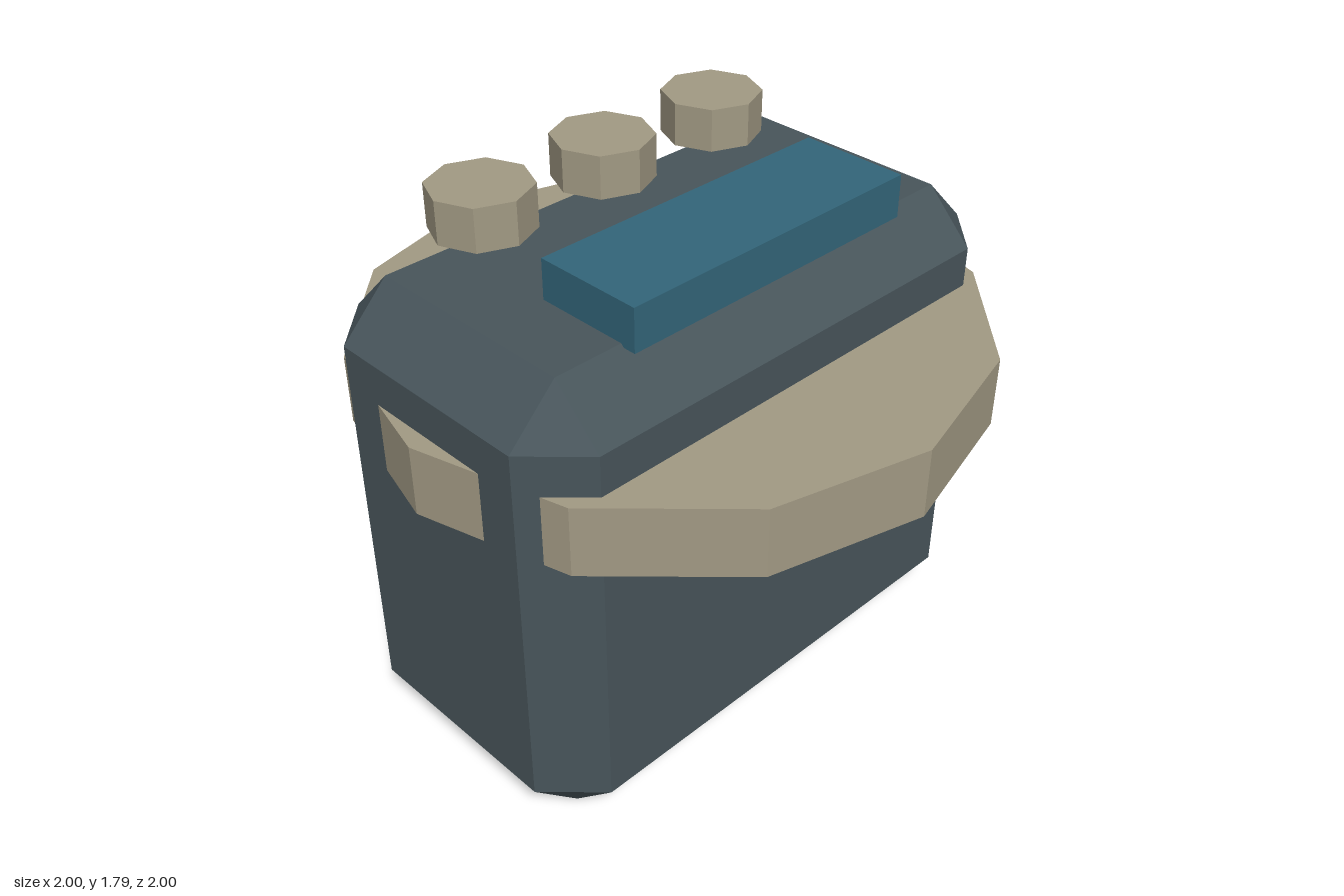
import * as THREE from 'three';
import { ConvexGeometry } from 'three/addons/geometries/ConvexGeometry.js';

const material = (color) => new THREE.MeshStandardMaterial({ color, flatShading: true });

// Box with every edge and corner cut off at 45 degrees
function chamferedBox(w, h, d, c) {
  const points = [];
  for (const sx of [-1, 1]) for (const sy of [-1, 1]) for (const sz of [-1, 1]) {
    const x = w / 2, y = h / 2, z = d / 2;
    points.push(
      new THREE.Vector3(sx * x, sy * (y - c), sz * (z - c)),
      new THREE.Vector3(sx * (x - c), sy * y, sz * (z - c)),
      new THREE.Vector3(sx * (x - c), sy * (y - c), sz * z),
    );
  }
  return new ConvexGeometry(points);
}

export function createModel() {
  const model = new THREE.Group();
  const slate = material(0x48555b);
  const tan = material(0xa29a84);
  const blue = material(0x33667a);

  const add = (name, geometry, mat, x, y, z) => {
    const mesh = new THREE.Mesh(geometry, mat);
    mesh.name = name;
    mesh.position.set(x, y, z);
    model.add(mesh);
  };

  // Main body
  add('body', chamferedBox(1.88, 1.59, 1.055, 0.164), slate, 0, 0.795, 0);

  // Wide disc passing through the body
  add('band', new THREE.CylinderGeometry(1, 1, 0.23, 12), tan, 0, 1.18, 0);

  // Panel on the front of the lid
  add('topPanel', new THREE.BoxGeometry(1.09, 0.14, 0.365), blue, 0, 1.65, 0.2325);

  // Row of knobs hovering over the back of the lid
  const knob = new THREE.CylinderGeometry(0.163, 0.163, 0.14, 8);
  ['rightKnob', 'middleKnob', 'leftKnob'].forEach((name, i) => {
    add(name, knob, tan, (i - 1) * 0.47, 1.725, -0.3);
  });

  return model;
}
